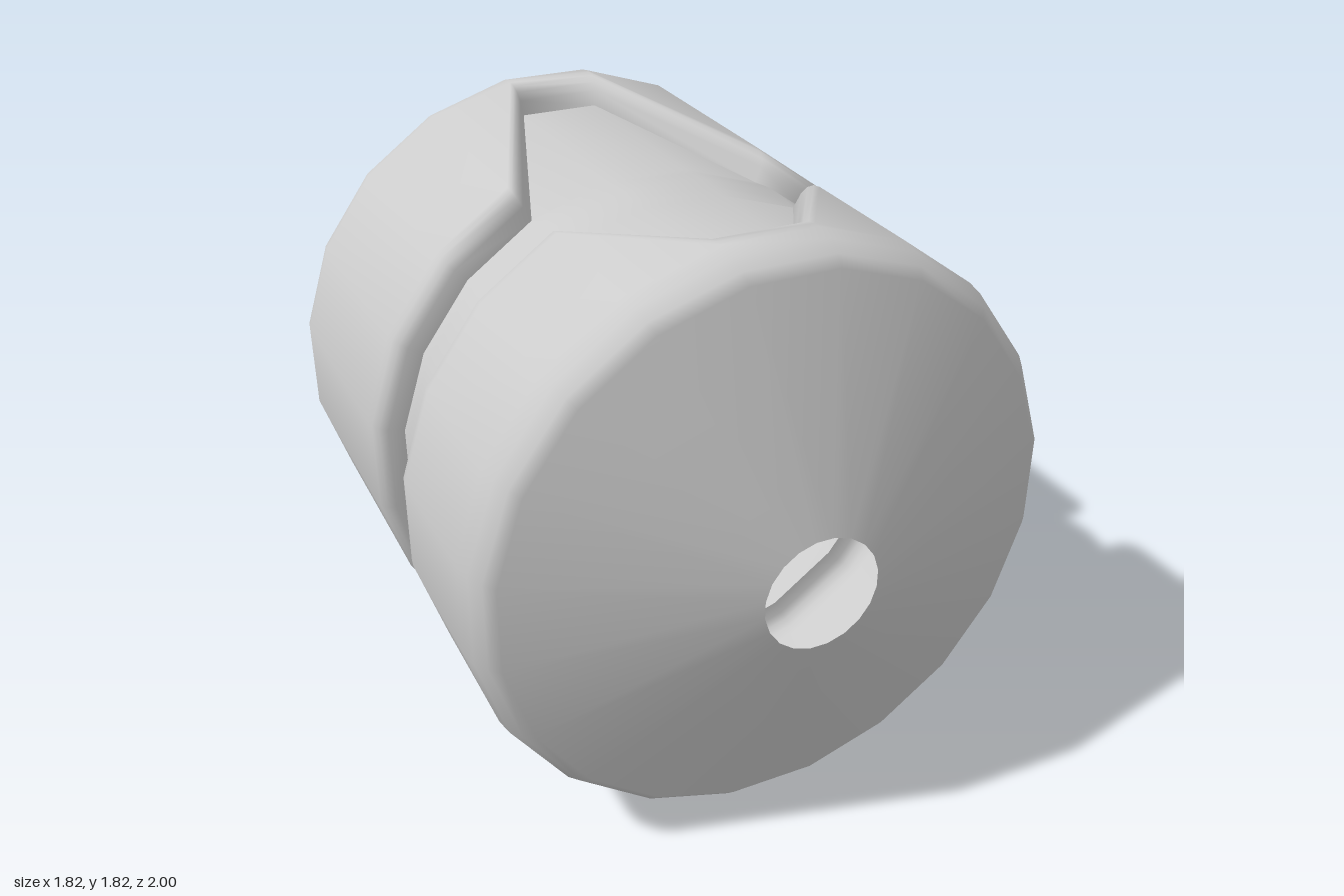
import * as THREE from 'three';

const SIDES = 20;
const CENTRE_Y = 0.909;
const material = new THREE.MeshStandardMaterial({ color: 0xcccccc, side: THREE.DoubleSide });

// The two columns either side of the top carry the long ends of the recess.
const isTop = (j) => j === 0 || j === SIDES - 1;

// Skins a 20-sided tube along z; profile(j) lists [radius, z] from front to back for column j.
function ringShell(name, profile) {
  const positions = [], index = [];
  const rows = profile(0).length;
  for (let j = 0; j < SIDES; j++) {
    const a = ((j + 0.5) * 2 * Math.PI) / SIDES;
    for (const [r, z] of profile(j)) positions.push(r * Math.sin(a), CENTRE_Y + r * Math.cos(a), z);
  }
  for (let j = 0; j < SIDES; j++) {
    const next = (j + 1) % SIDES;
    for (let i = 0; i < rows - 1; i++) {
      const a = j * rows + i, b = next * rows + i;
      index.push(a, b, a + 1, b, b + 1, a + 1);
    }
  }
  const geometry = new THREE.BufferGeometry();
  geometry.setAttribute('position', new THREE.Float32BufferAttribute(positions, 3));
  geometry.setIndex(index);
  geometry.computeVertexNormals();
  const mesh = new THREE.Mesh(geometry, material);
  mesh.name = name;
  return mesh;
}

// Rounded lip: [radius, distance from the recess edge], from the floor outwards
const lip = [[0.825, 0], [0.875, 0.005], [0.9, 0.02], [0.915, 0.045], [0.92, 0.075]];
const frontEdge = (j) => (isTop(j) ? 0.55 : 0.12);
const backEdge = (j) => (isTop(j) ? -0.825 : -0.12);

export function createModel() {
  const group = new THREE.Group();
  group.name = 'slottedShell';

  // Conical nose with its centre hole, rounded shoulder and front body
  group.add(ringShell('frontBody', (j) => [
    [0.177, 1], [0.855, 0.785], [0.885, 0.755], [0.91, 0.71], [0.92, 0.65],
    ...lip.map(([r, d]) => [r, frontEdge(j) + d]).reverse(),
  ]));

  // Slightly bulged groove, running into the floor of the top recess
  group.add(ringShell('grooveAndRecessFloor', (j) => [
    [0.825, frontEdge(j)],
    [0.825, 0.12], [0.833, 0.06], [0.836, 0], [0.833, -0.06], [0.825, -0.12],
    [0.825, backEdge(j)],
  ]));

  // Rear body with an open, rounded rim
  group.add(ringShell('rearBody', (j) => [
    ...lip.map(([r, d]) => [r, backEdge(j) - d]),
    [0.92, -0.925], [0.913, -0.96], [0.895, -0.988], [0.868, -1],
  ]));

  return group;
}
